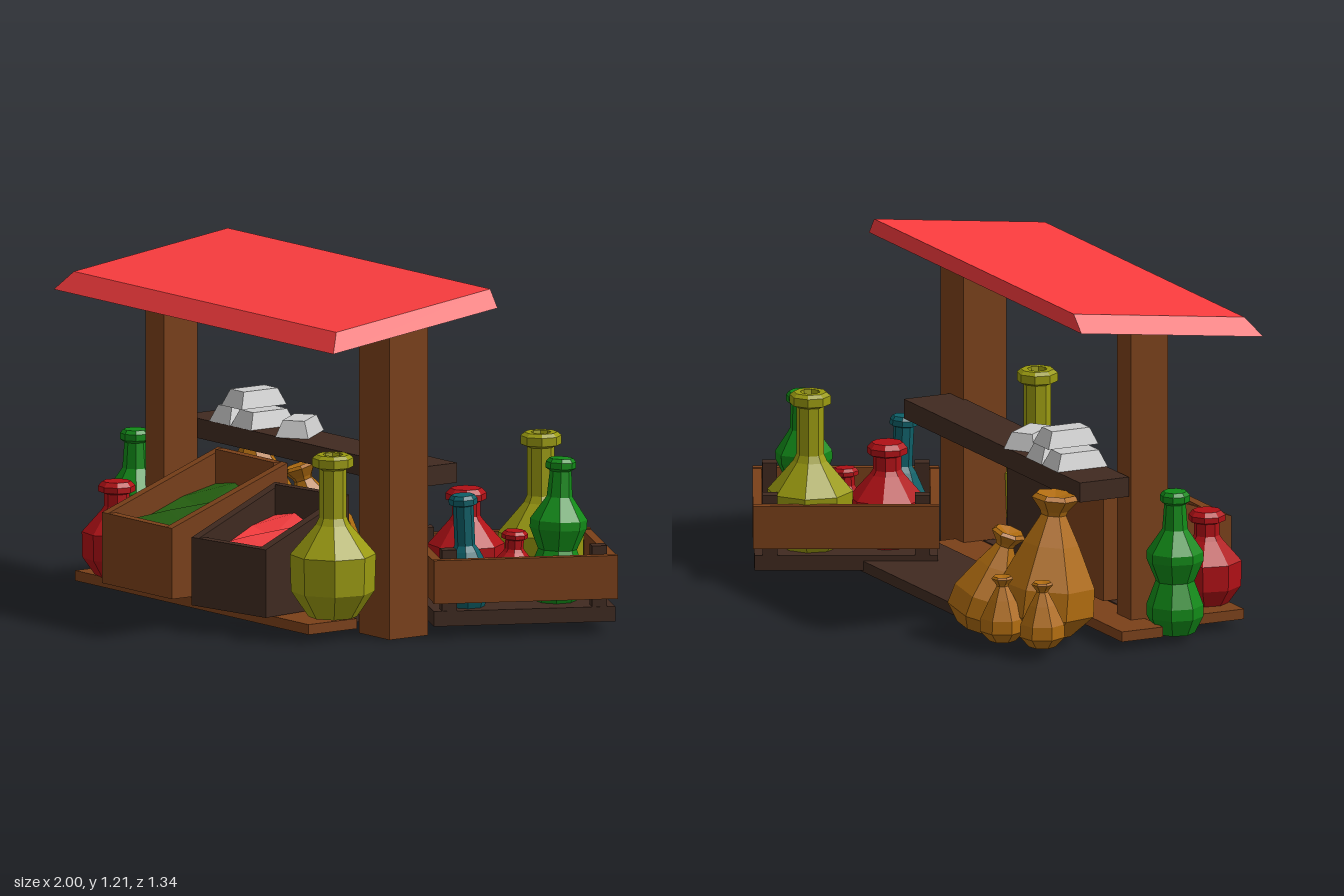
import * as THREE from 'three';

const mat = (color, side = THREE.FrontSide) =>
  new THREE.MeshStandardMaterial({ color, flatShading: true, side });
const M = {
  wood: mat(0x7a4019), dark: mat(0x402a20), roof: mat(0xfa3c3e), metal: mat(0xcccccc),
  green: mat(0x128a18), yellow: mat(0x9a9a10), red: mat(0xb01015), teal: mat(0x0e6068), sack: mat(0xb06c10),
  greens: mat(0x256010, THREE.DoubleSide), fruit: mat(0xf83c3e, THREE.DoubleSide),
};

export function createModel() {
  const model = new THREE.Group();

  function add(name, geometry, material, parent = model) {
    const mesh = new THREE.Mesh(geometry, material);
    mesh.name = name;
    parent.add(mesh);
    return mesh;
  }

  // Box given by its extents
  function box(name, [x0, x1], [y0, y1], [z0, z1], material, parent) {
    const g = new THREE.BoxGeometry(x1 - x0, y1 - y0, z1 - z0);
    g.translate((x0 + x1) / 2, (y0 + y1) / 2, (z0 + z1) / 2);
    return add(name, g, material, parent);
  }

  function lathe(name, profile, sides, material, [x, y, z], scale = 1, tilt = [0, 0]) {
    const points = profile.map(([r, h]) => new THREE.Vector2(r, h));
    const m = add(name, new THREE.LatheGeometry(points, sides), material);
    m.position.set(x, y, z);
    m.scale.setScalar(scale);
    m.rotation.set(tilt[0], 0.2, tilt[1]);
    return m;
  }

  // Sloping roof slab with bevelled front and ends
  const roof = new THREE.BoxGeometry(1, 1, 1);
  const rp = roof.attributes.position;
  for (let i = 0; i < rp.count; i++) {
    const top = rp.getY(i) > 0, front = rp.getZ(i) > 0;
    const x = (rp.getX(i) > 0 ? 1 : -1) * (top ? 0.77 : 0.82) - 0.11;
    rp.setXYZ(i, x, front ? (top ? 1.12 : 1.055) : (top ? 1.205 : 1.145),
      front ? (top ? 0.56 : 0.61) : (top ? -0.105 : -0.1));
  }
  add('roof', roof, M.roof);

  // Posts, counter and floor
  box('leftPost', [0.435, 0.615], [0, 1.1], [0.13, 0.297], M.wood);
  box('rightPost', [-0.826, -0.719], [0, 1.1], [0.145, 0.29], M.wood);
  box('counter', [-0.82, 0.54], [0.51, 0.58], [-0.05, 0.14], M.dark);
  box('frontPlank', [-0.86, 0.51], [0.032, 0.068], [0.36, 0.57], M.wood);
  box('middlePlank', [-0.8, 0.42], [0.036, 0.072], [0.2, 0.36], M.dark);
  box('rearPlank', [-0.965, 0.5], [0.032, 0.068], [0.04, 0.2], M.wood);
  box('backPlatform', [-0.58, 0.45], [0.036, 0.075], [-0.315, 0.04], M.dark);

  // Display crates with sloping sides, filled with an uneven layer of goods
  function displayCrate(name, w, d, h0, h1, material, goods, [x, y, z], yaw) {
    const g = new THREE.Group(), t = 0.035;
    g.name = name;
    const shape = new THREE.Shape([[-d / 2, 0], [d / 2, 0], [d / 2, h0], [-d / 2, h1]]
      .map(([u, v]) => new THREE.Vector2(u, v)));
    for (const right of [w / 2, -w / 2 + t]) {
      const side = new THREE.ExtrudeGeometry(shape, { depth: t, bevelEnabled: false });
      side.rotateY(-Math.PI / 2);
      side.translate(right, 0, 0);
      add('crateSide', side, material, g);
    }
    const inner = [-w / 2 + t, w / 2 - t];
    box('crateFront', inner, [0, h0], [d / 2 - t, d / 2], material, g);
    box('crateBack', inner, [0, h1], [-d / 2, -d / 2 + t], material, g);
    box('crateFloor', inner, [0, t], [-d / 2 + t, d / 2 - t], material, g);
    const fill = new THREE.PlaneGeometry(w - 2 * t, d - 2 * t, 3, 3);
    fill.rotateX(-Math.PI / 2);
    const p = fill.attributes.position;
    for (let i = 0; i < p.count; i++) {
      const k = 0.5 - p.getZ(i) / (d - 2 * t);
      p.setY(i, h0 - 0.05 + k * (h1 - h0) * 0.6 + 0.025 * Math.sin(i * 2.3));
    }
    add('goods', fill, goods, g);
    g.position.set(x, y, z);
    g.rotation.y = yaw;
    model.add(g);
  }
  displayCrate('greensCrate', 0.41, 0.5, 0.25, 0.43, M.wood, M.greens, [-0.36, 0.075, 0.42], 0);
  displayCrate('fruitCrate', 0.365, 0.41, 0.24, 0.385, M.dark, M.fruit, [0.11, 0.07, 0.44], 0.15);

  // Turned side crate holding bottles
  const tray = new THREE.Group();
  tray.name = 'bottleCrate';
  tray.position.set(0.59, 0, -0.25);
  tray.rotation.y = -0.465;
  model.add(tray);
  const hx = 0.295, hz = 0.325, t = 0.032;
  box('trayFloor', [-hx + t, hx - t], [0.042, 0.095], [-hz + 0.005, hz - 0.005], M.dark, tray);
  for (const s of [-1, 1]) {
    const ex = [s * hx, s * (hx - t)].sort((a, b) => a - b);
    const ez = [s * hz, s * (hz - t)].sort((a, b) => a - b);
    box('traySide', ex, [0.127, 0.28], [-hz, hz], M.wood, tray);
    box('trayEnd', [-hx + t, hx - t], [0.13, 0.277], ez, M.wood, tray);
    for (const q of [-1, 1]) {
      const cx = s * (hx - t - 0.028), cz = q * (hz - t - 0.028);
      box('trayPost', [cx - 0.026, cx + 0.026], [0.06, 0.31], [cz - 0.026, cz + 0.026], M.dark, tray);
    }
  }

  // Bottles
  const round = [[0, 0], [0.085, 0], [0.146, 0.09], [0.15, 0.22], [0.06, 0.325], [0.048, 0.35],
    [0.048, 0.52], [0.072, 0.53], [0.072, 0.56], [0.058, 0.572], [0.035, 0.572], [0.03, 0.54], [0, 0.54]];
  const waisted = [[0, 0], [0.07, 0], [0.1, 0.06], [0.1, 0.1], [0.068, 0.185], [0.1, 0.26],
    [0.1, 0.29], [0.045, 0.37], [0.038, 0.46], [0.053, 0.47], [0.053, 0.492], [0.042, 0.505], [0, 0.505]];
  const squat = [[0, 0], [0.07, 0], [0.12, 0.07], [0.122, 0.16], [0.055, 0.235], [0.045, 0.25],
    [0.045, 0.295], [0.065, 0.302], [0.065, 0.322], [0.05, 0.338], [0, 0.338]];
  const slim = [[0, 0], [0.06, 0], [0.085, 0.06], [0.085, 0.13], [0.05, 0.2], [0.036, 0.22],
    [0.036, 0.36], [0.05, 0.365], [0.05, 0.385], [0.04, 0.398], [0, 0.398]];
  lathe('yellowBottle', round, 8, M.yellow, [0.47, 0.078, 0.435]);
  lathe('yellowBottle', round, 8, M.yellow, [0.53, 0.078, -0.42]);
  lathe('greenBottle', waisted, 8, M.green, [-0.9, 0.027, 0.28]);
  lathe('greenBottle', waisted, 8, M.green, [0.75, 0.092, -0.32], 1, [-0.05, 0]);
  lathe('redBottle', squat, 8, M.red, [-0.71, 0.06, 0.5]);
  lathe('redBottle', squat, 8, M.red, [0.43, 0.092, -0.17], 1.1);
  lathe('smallRedBottle', squat, 8, M.red, [0.62, 0.092, -0.23], 0.72, [0, -0.05]);
  lathe('tealBottle', slim, 8, M.teal, [0.655, 0.092, -0.01], 1, [0.05, 0]);

  // Tied sacks, unit height
  const sack = [[0, 0], [0.2, 0], [0.35, 0.16], [0.34, 0.36], [0.2, 0.65], [0.09, 0.85],
    [0.1, 0.88], [0.17, 0.97], [0.14, 1], [0, 0.96]];
  lathe('largeSack', sack, 7, M.sack, [-0.73, 0.035, -0.15], 0.5, [0.08, 0.03]);
  lathe('mediumSack', sack, 7, M.sack, [-0.56, 0.04, -0.32], 0.37, [0.2, 0.22]);
  lathe('smallSack', sack, 7, M.sack, [-0.765, 0.035, -0.325], 0.23);
  lathe('smallSack', sack, 7, M.sack, [-0.905, 0.035, -0.24], 0.23);

  // Metal bars stacked on the counter
  function ingot(x, y, z, yaw) {
    const g = new THREE.BoxGeometry(0.12, 0.058, 0.195);
    const p = g.attributes.position;
    for (let i = 0; i < p.count; i++) {
      if (p.getY(i) < 0) continue;
      p.setX(i, p.getX(i) * 0.66);
      p.setZ(i, p.getZ(i) * 0.75);
    }
    const m = add('ingot', g, M.metal);
    m.position.set(x, y, z);
    m.rotation.y = yaw;
  }
  ingot(-0.593, 0.61, 0.045, 0);
  ingot(-0.467, 0.61, 0.045, 0);
  ingot(-0.522, 0.675, 0.045, 0);
  ingot(-0.255, 0.61, 0.045, 0.65);

  return model;
}
